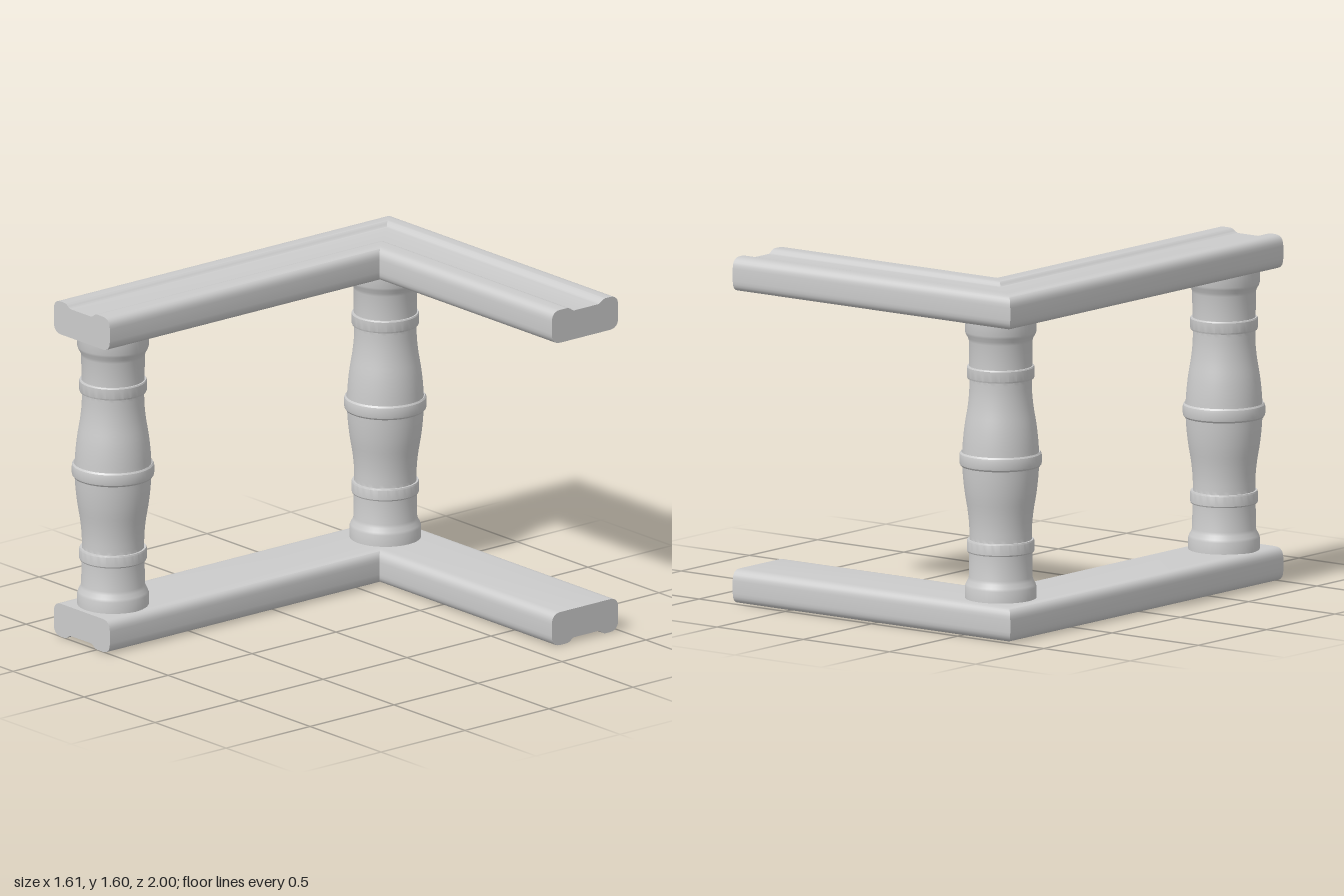
import * as THREE from 'three';
import { toCreasedNormals } from 'three/addons/utils/BufferGeometryUtils.js';

const material = new THREE.MeshStandardMaterial({ color: 0xcccccc });
const HEIGHT = 1.6, RAIL_H = 0.157, RAIL_W = 0.395, HALF_X = 0.805;

// Rail section: u runs from the outer edge inward, v from the flat face to the grooved face
function railShape(toY) {
  const s = new THREE.Shape();
  const w = RAIL_W, h = RAIL_H, r = 0.05;
  const line = (u, v) => s.lineTo(u, toY(v));
  const bend = (cu, cv, u, v) => s.quadraticCurveTo(cu, toY(cv), u, toY(v));
  s.moveTo(r, toY(0));
  line(w - r, 0);
  bend(w, 0, w, r);
  line(w, h - r);
  bend(w, h, w - r, h);
  line(0.31, h);
  bend(0.295, h, 0.283, h - 0.009);
  bend(0.27, h - 0.02, 0.26, h - 0.02);
  line(0.125, h - 0.02);
  bend(0.11, h - 0.02, 0.098, h - 0.009);
  bend(0.085, h, 0.075, h);
  line(r, h);
  bend(0, h, 0, h - r);
  line(0, r);
  bend(0, 0, r, 0);
  return s;
}

// L-shaped rail: straight extrusion bent at its middle station into a mitred corner
function makeRail(name, toY) {
  const geo = new THREE.ExtrudeGeometry(railShape(toY), {
    depth: 1, steps: 2, bevelEnabled: false, curveSegments: 6,
  });
  const p = geo.attributes.position;
  for (let i = 0; i < p.count; i++) {
    const u = p.getX(i), t = p.getZ(i);
    const x = t < 0.25 ? HALF_X : -HALF_X + u;
    const z = t > 0.75 ? 1 : -1 + u;
    p.setXYZ(i, x, p.getY(i), z);
  }
  const mesh = new THREE.Mesh(toCreasedNormals(geo, 0.5), material);
  mesh.name = name;
  return mesh;
}

// Turned baluster, symmetric about mid height
function balusterGeometry() {
  const body = new THREE.SplineCurve([
    [0.142, 0.428], [0.143, 0.49], [0.15, 0.56], [0.163, 0.64], [0.171, 0.71], [0.175, 0.77],
  ].map(([r, y]) => new THREE.Vector2(r, y))).getPoints(14);
  const lower = [
    [0.163, 0.15], [0.163, 0.21], [0.159, 0.222], [0.149, 0.24], [0.145, 0.255], [0.144, 0.37],
    [0.151, 0.37], [0.154, 0.376], [0.154, 0.421], [0.151, 0.428],
  ].map(([r, y]) => new THREE.Vector2(r, y));
  const belt = [[0.18, 0.767], [0.186, 0.775], [0.188, 0.785]]
    .map(([r, y]) => new THREE.Vector2(r, y));
  const half = [...lower, ...body, ...belt];
  const upper = half.map((v) => new THREE.Vector2(v.x, HEIGHT - v.y)).reverse();
  return toCreasedNormals(new THREE.LatheGeometry([...half, ...upper], 48), 0.42);
}

export function createModel() {
  const model = new THREE.Group();
  model.name = 'cornerBalustrade';

  // Grooves face outward: down on the bottom rail, up on the top rail
  model.add(makeRail('bottomRail', (v) => RAIL_H - v));
  model.add(makeRail('topRail', (v) => HEIGHT - RAIL_H + v));

  const geo = balusterGeometry();
  for (const [name, x, z] of [['frontBaluster', -0.61, 0.812], ['cornerBaluster', -0.575, -0.78]]) {
    const baluster = new THREE.Mesh(geo, material);
    baluster.name = name;
    baluster.position.set(x, 0, z);
    model.add(baluster);
  }
  return model;
}
